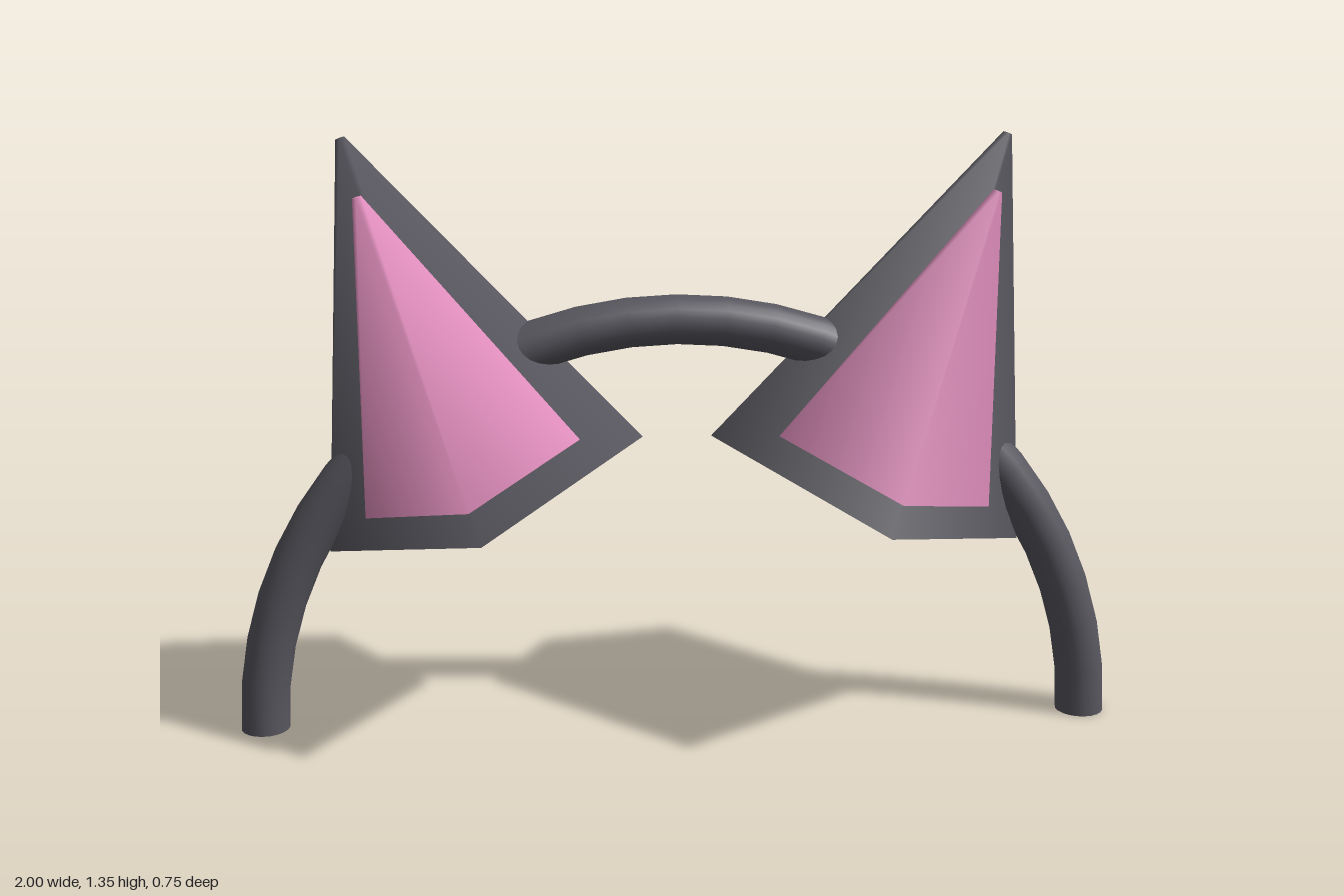
import * as THREE from 'three';

const charcoal = new THREE.MeshStandardMaterial({ color: 0x58575f });
charcoal.name = 'charcoal';
const pink = new THREE.MeshStandardMaterial({ color: 0xe28fbe });
pink.name = 'pink';

const ARC = 0.945;   // headband centre-line radius
const TUBE = 0.055;  // headband thickness radius
const TILT = THREE.MathUtils.degToRad(20);

function addMesh(parent, name, geometry, material, x = 0, y = 0, z = 0) {
  const mesh = new THREE.Mesh(geometry, material);
  mesh.name = name;
  mesh.position.set(x, y, z);
  parent.add(mesh);
  return mesh;
}

// Four-sided, smooth-shaded spike with its base centre at the origin
function spike(radius, height) {
  return new THREE.CylinderGeometry(0.01, radius, height, 4, 1).translate(0, height / 2, 0);
}

export function createModel() {
  const model = new THREE.Group();
  model.name = 'earHeadband';

  // Half-ring band, closed at both feet
  addMesh(model, 'band', new THREE.TorusGeometry(ARC, TUBE, 20, 28, Math.PI), charcoal);

  for (const side of [-1, 1]) {
    const label = side > 0 ? 'left' : 'right';
    const foot = addMesh(model, label + 'BandEnd', new THREE.CircleGeometry(TUBE, 20), charcoal, side * ARC);
    foot.rotation.x = Math.PI / 2;

    // Ear leaning outwards, with a smaller inner ear pushed through its front
    const ear = new THREE.Group();
    ear.name = label + 'Ear';
    ear.position.set(side * 0.428, 0.55, 0);
    ear.rotation.z = -side * TILT;
    addMesh(ear, label + 'OuterEar', spike(0.374, 0.85), charcoal);
    addMesh(ear, label + 'InnerEar', spike(0.25, 0.66), pink, 0, 0.073, 0.108);
    model.add(ear);
  }
  return model;
}
